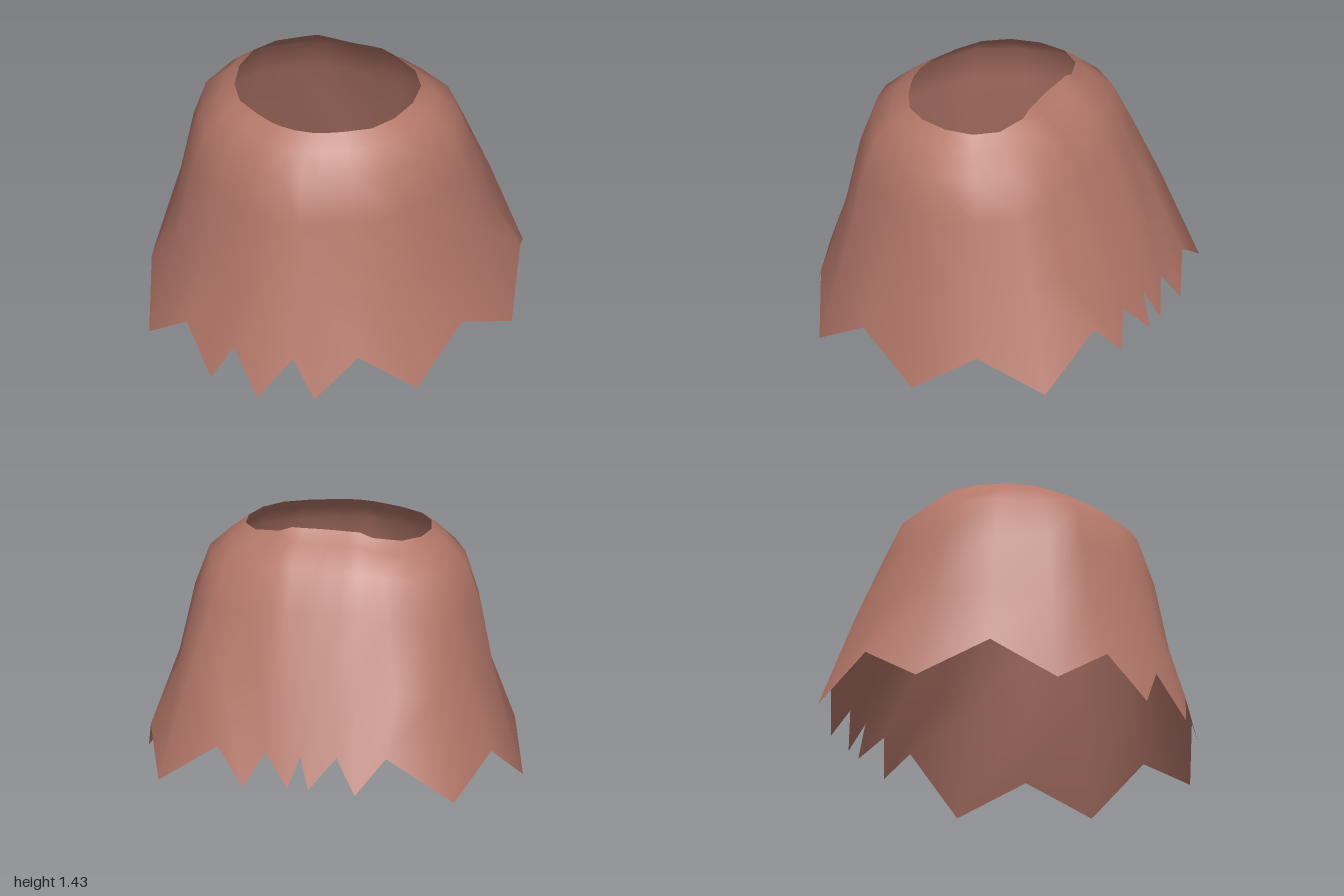
import * as THREE from 'three';

// Half outline from front centre round the +x side to back centre.
// Each column: hem point, then rim point. Even columns are tips, odd ones notches.
const HALF = [
  [[0, 0, 0.97], [0, 1.33, 0.435]],
  [[0.165, 0.22, 0.88], [0.09, 1.33, 0.425]],
  [[0.29, 0.01, 0.89], [0.15, 1.33, 0.405]],
  [[0.48, 0.23, 0.755], [0.24, 1.335, 0.365]],
  [[0.75, 0.02, 0.605], [0.37, 1.34, 0.285]],
  [[0.87, 0.26, 0.27], [0.45, 1.35, 0.16]],
  [[1, 0.08, -0.1], [0.487, 1.36, 0]],
  [[0.91, 0.32, -0.44], [0.47, 1.37, -0.155]],
  [[0.79, 0.14, -0.78], [0.39, 1.38, -0.27]],
  [[0.45, 0.39, -0.88], [0.25, 1.405, -0.33]],
  [[0.3, 0.2, -0.957], [0.18, 1.43, -0.33]],
  [[0.19, 0.38, -0.9], [0.12, 1.43, -0.33]],
  [[0.055, 0.22, -0.98], [0.04, 1.43, -0.325]],
  [[0, 0.38, -0.91], [0, 1.43, -0.325]],
];

// Rows between rim and hem: drop, then outward spread at the front/sides and at the back
const ROWS = [
  [0.05, 0.17, 0.09],
  [0.13, 0.39, 0.3],
  [0.3, 0.54, 0.45],
  [0.58, 0.69, 0.69],
];

function createCapeGeometry() {
  const vec = (p, side) => new THREE.Vector3(p[0] * side, p[1], p[2]);
  const column = (side) => ([hem, rim]) => ({ hem: vec(hem, side), rim: vec(rim, side) });
  const columns = [
    ...HALF.map(column(1)),
    ...HALF.slice(1, -1).reverse().map(column(-1)),
  ];
  const n = columns.length;

  // The cloth above a notch follows the line between the two neighbouring tips
  columns.forEach((c, i) => {
    c.base = c.hem.clone();
    if (i % 2) {
      c.base.lerpVectors(columns[i - 1].hem, columns[(i + 1) % n].hem, 0.5);
      c.base.x *= 1.02;
      c.base.z *= 1.01;
    }
  });

  const positions = [];
  const add = (x, y, z) => positions.push(x, y, z);
  columns.forEach(({ rim }) => add(rim.x, rim.y, rim.z));
  for (const [drop, sideSpread, backSpread] of ROWS) {
    for (const { rim, base } of columns) {
      const back = THREE.MathUtils.smoothstep(-base.z, 0.2, 0.9);
      const spread = THREE.MathUtils.lerp(sideSpread, backSpread, back);
      add(
        THREE.MathUtils.lerp(rim.x, base.x, spread),
        THREE.MathUtils.lerp(rim.y, base.y, drop),
        THREE.MathUtils.lerp(rim.z, base.z, spread),
      );
    }
  }
  columns.forEach(({ hem }) => add(hem.x, hem.y, hem.z));

  const index = [];
  for (let r = 0; r <= ROWS.length; r++) {
    for (let c = 0; c < n; c++) {
      const next = (c + 1) % n;
      const a = r * n + c, b = a + n, e = r * n + next, d = e + n;
      // Mirror the diagonals so both sides match
      if (c < n / 2) index.push(a, b, d, a, d, e);
      else index.push(a, b, e, b, d, e);
    }
  }

  const geometry = new THREE.BufferGeometry();
  geometry.setAttribute('position', new THREE.Float32BufferAttribute(positions, 3));
  geometry.setIndex(index);
  geometry.computeVertexNormals();
  return geometry;
}

export function createModel() {
  const group = new THREE.Group();
  group.name = 'cape';

  // Open shell with a neck hole and a ragged hem
  const cloth = new THREE.MeshStandardMaterial({ color: 0xb5786a, side: THREE.DoubleSide });
  const cape = new THREE.Mesh(createCapeGeometry(), cloth);
  cape.name = 'capeCloth';
  group.add(cape);
  return group;
}
